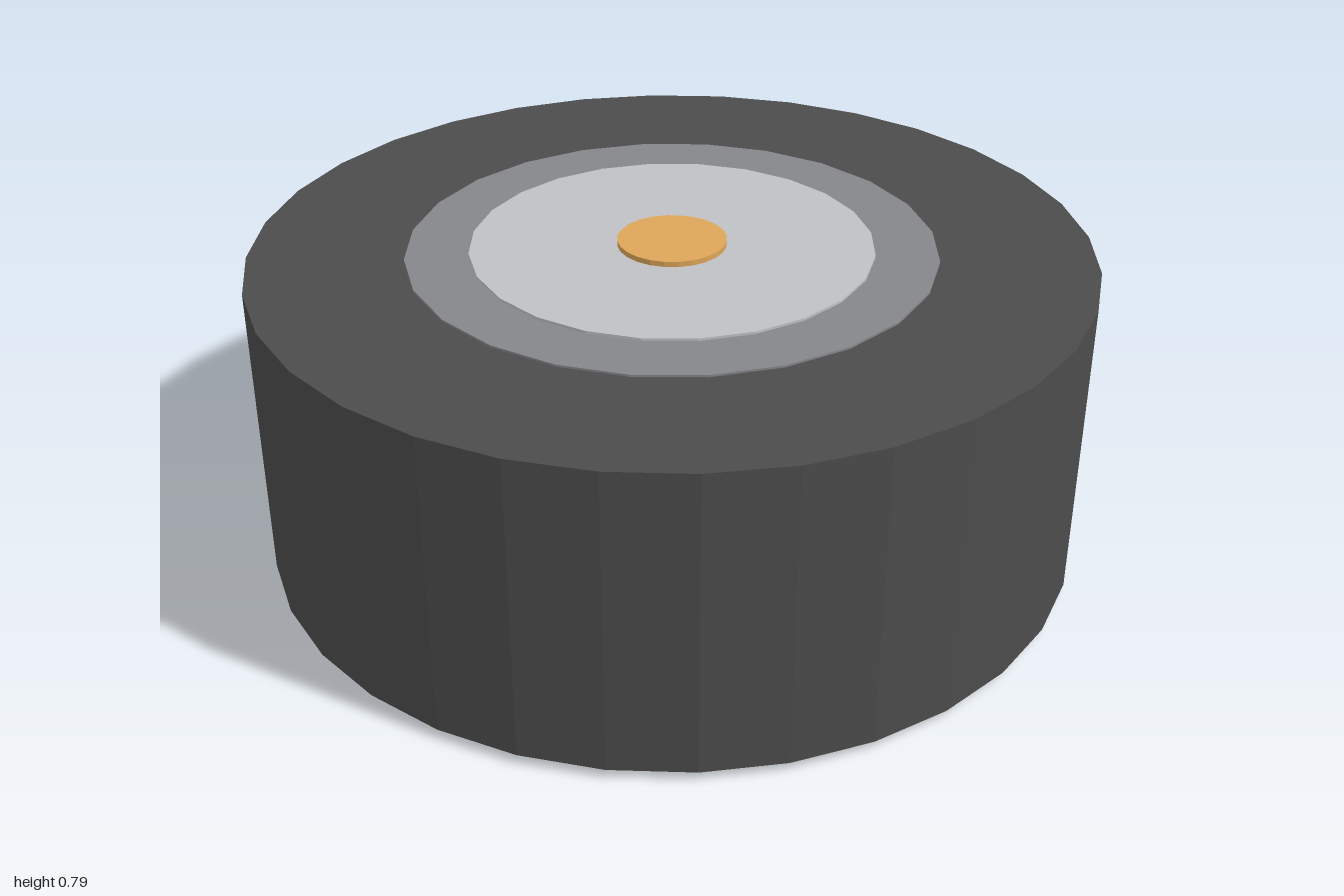
import * as THREE from 'three';

// Concentric discs, each slightly thicker than the one around it.
const HEIGHT = 0.79;
const PARTS = [
  // name, radius, thickness, sides, color
  ['tyre', 1.0, 0.742, 32, 0x4c4c4c],
  ['rim', 0.63, 0.752, 24, 0x85868a],
  ['wheelDisc', 0.48, 0.764, 24, 0xc0c1c5],
  ['hubCap', 0.13, HEIGHT, 24, 0xdda559],
];

export function createModel() {
  const wheel = new THREE.Group();
  wheel.name = 'wheel';
  for (const [name, radius, thickness, sides, color] of PARTS) {
    const part = new THREE.Mesh(
      new THREE.CylinderGeometry(radius, radius, thickness, sides),
      new THREE.MeshStandardMaterial({ color, flatShading: true })
    );
    part.name = name;
    part.position.y = HEIGHT / 2;
    wheel.add(part);
  }
  return wheel;
}
